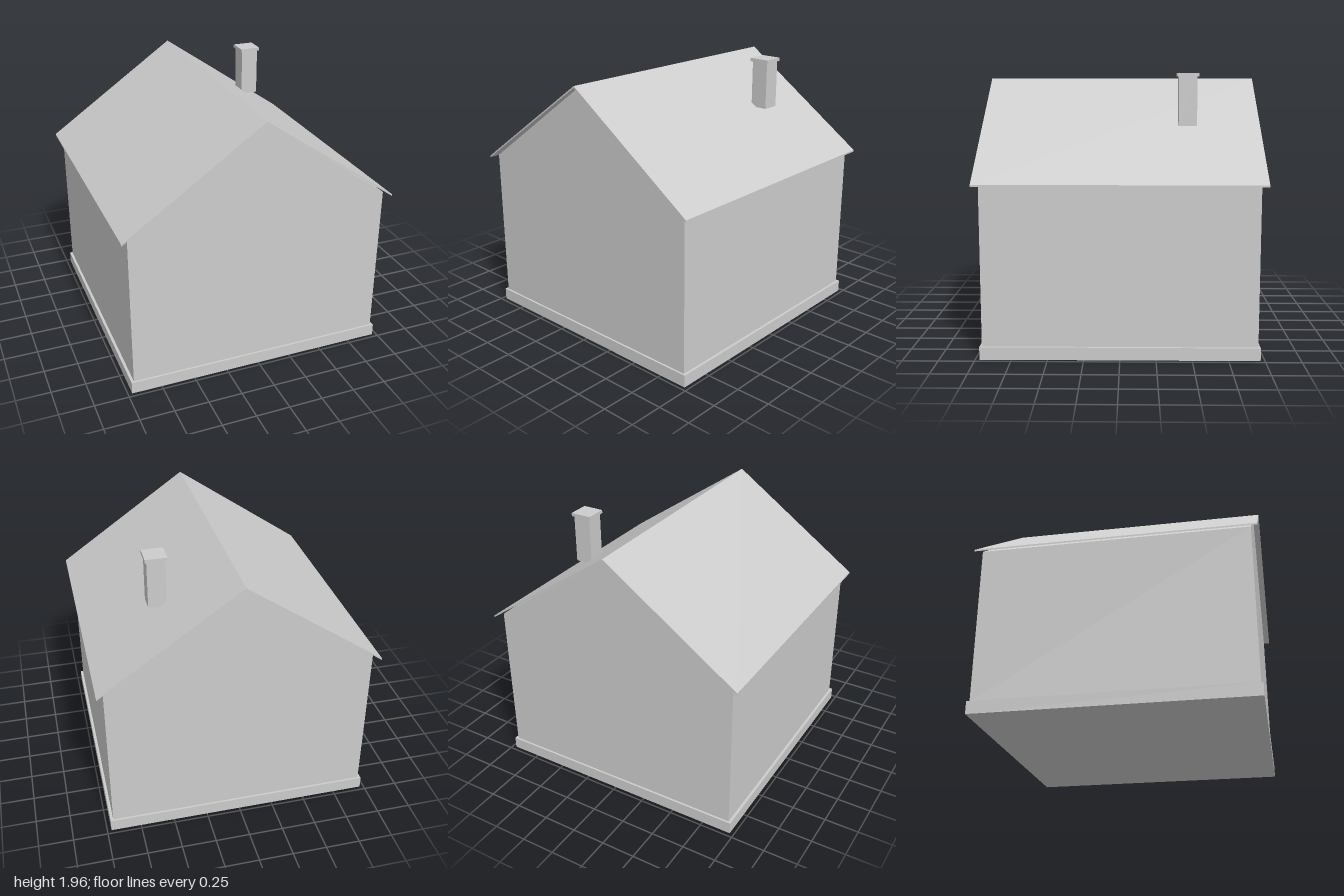
import * as THREE from 'three';

const plaster = new THREE.MeshStandardMaterial({ color: 0xcccccc });
plaster.name = 'light grey';

// Box given by its centre in plan and its bottom and top heights
function block(name, w, d, y0, y1, x = 0, z = 0) {
  const mesh = new THREE.Mesh(new THREE.BoxGeometry(w, y1 - y0, d), plaster);
  mesh.position.set(x, (y0 + y1) / 2, z);
  mesh.name = name;
  return mesh;
}

// Front outline extruded along z, centred on z = 0
function prism(name, points, depth) {
  const shape = new THREE.Shape(points.map(([x, y]) => new THREE.Vector2(x, y)));
  const geometry = new THREE.ExtrudeGeometry(shape, { depth, bevelEnabled: false });
  geometry.translate(0, 0, -depth / 2);
  const mesh = new THREE.Mesh(geometry, plaster);
  mesh.name = name;
  return mesh;
}

export function createModel() {
  const house = new THREE.Group();
  house.name = 'house';

  // Plinth and gabled walls
  house.add(block('foundation', 1.94, 1.94, 0, 0.09));
  house.add(prism('walls', [
    [-0.95, 0.09], [0.95, 0.09], [0.95, 1.23], [0, 1.903], [-0.95, 1.23],
  ], 1.91));

  // Thin roof with overhanging eaves
  house.add(prism('roof', [
    [-1, 1.21], [0, 1.906], [1, 1.21], [1, 1.223], [0, 1.919], [-1, 1.223],
  ], 2));

  // Chimney with its cap
  const chimney = new THREE.Group();
  chimney.name = 'chimney';
  chimney.add(block('chimneyStack', 0.13, 0.13, 1.59, 1.94, 0.493, -0.477));
  chimney.add(block('chimneyCap', 0.155, 0.155, 1.938, 1.962, 0.493, -0.477));
  house.add(chimney);

  return house;
}
